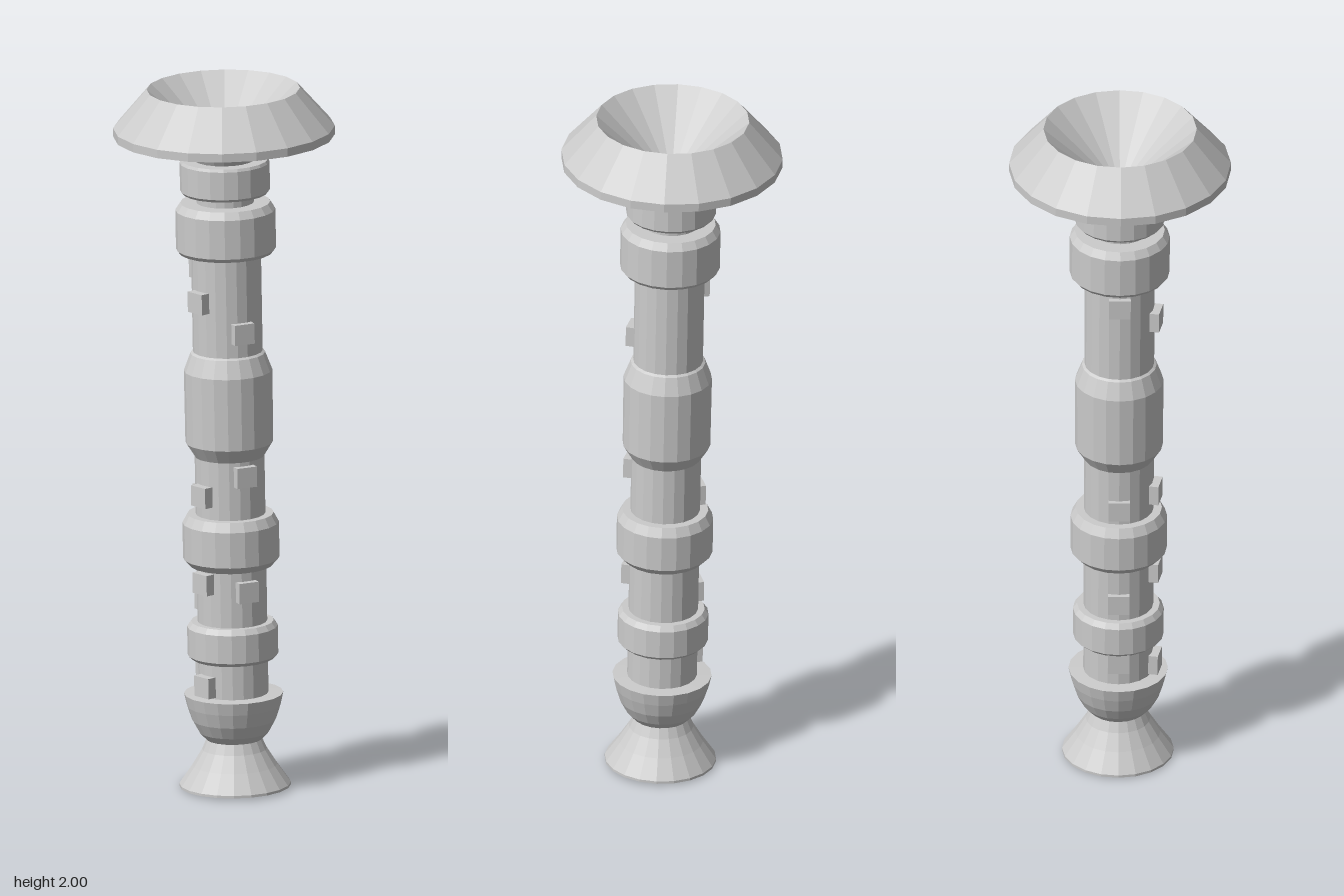
import * as THREE from 'three';

const material = new THREE.MeshStandardMaterial({ color: 0xcccccc, flatShading: true });
const SIDES = 20;
const SHAFT = 0.097;

// Turned part from [radius, height] pairs, running up the outside
function turned(name, profile) {
  const points = profile.map(([r, y]) => new THREE.Vector2(r, y));
  const mesh = new THREE.Mesh(new THREE.LatheGeometry(points, SIDES), material);
  mesh.name = name;
  return mesh;
}

// Bevelled ring closed at both ends
function collar(name, [y0, r0], [y1, y2], radius, [y3, r3]) {
  return turned(name, [[0, y0], [r0, y0], [radius, y1], [radius, y2], [r3, y3], [0, y3]]);
}

export function createModel() {
  const model = new THREE.Group();
  model.name = 'flaredHandle';
  const body = new THREE.Group();
  body.name = 'body';
  model.add(body);

  // Flared foot and cup
  body.add(turned('foot', [[0, 0], [0.155, 0.005], [0.155, 0.012], [0.118, 0.065], [0.09, 0.11], [0.077, 0.14]]));
  body.add(turned('cup', [[0.075, 0.136], [0.098, 0.16], [0.117, 0.195], [0.13, 0.235], [0.138, 0.27], [0, 0.275]]));

  // Shaft with a swollen grip and a narrow neck
  body.add(turned('shaft', [
    [SHAFT, 0.26], [SHAFT, 0.95], [0.122, 0.99], [0.123, 1.195], [0.104, 1.245],
    [SHAFT, 1.25], [SHAFT, 1.6]]));
  body.add(turned('neck', [[0.08, 1.62], [0.08, 1.72]]));

  // Collars: bottom edge, straight band, radius, top edge
  body.add(collar('lowerCollar', [0.371, 0.114], [0.382, 0.462], 0.126, [0.477, 0.115]));
  body.add(collar('middleCollar', [0.637, 0.114], [0.658, 0.759], 0.134, [0.785, 0.12]));
  body.add(collar('upperCollar', [1.533, 0.13], [1.544, 1.655], 0.139, [1.676, 0.125]));
  body.add(collar('topCollar', [1.703, 0.118], [1.711, 1.79], 0.125, [1.798, 0.121]));

  // Funnel under the head
  body.add(turned('funnel', [[0.08, 1.79], [0.122, 1.867], [0.165, 1.945]]));

  // Head: hollow underside, sloped hood and conical bowl
  body.add(turned('head', [
    [0.165, 1.945], [0.2, 1.867], [0.308, 1.866], [0.308, 1.89],
    [0.213, 2], [0, 1.81]]));

  // Rows of small tabs around the shaft: angle from the front, outer radius, heights
  const rows = [
    ['frontTab', -28, 0.115, [1.32, 0.91, 0.58]],
    ['sideTab', -102, 0.118, [1.405, 0.85, 0.6, 0.305]],
    ['backTab', 180, 0.108, [1.48, 0.83, 0.53, 0.34]],
  ];
  const tab = new THREE.BoxGeometry(0.06, 0.058, 0.05);
  for (const [name, degrees, outer, heights] of rows) {
    const angle = THREE.MathUtils.degToRad(degrees);
    const r = outer - 0.025;
    for (const y of heights) {
      const mesh = new THREE.Mesh(tab, material);
      mesh.name = name;
      mesh.position.set(r * Math.sin(angle), y, r * Math.cos(angle));
      mesh.rotation.y = angle;
      body.add(mesh);
    }
  }

  // Slight lean of the whole piece
  body.rotation.set(-0.0185, 0, 0.003);
  body.position.set(0.006, 0, 0.037);
  return model;
}
